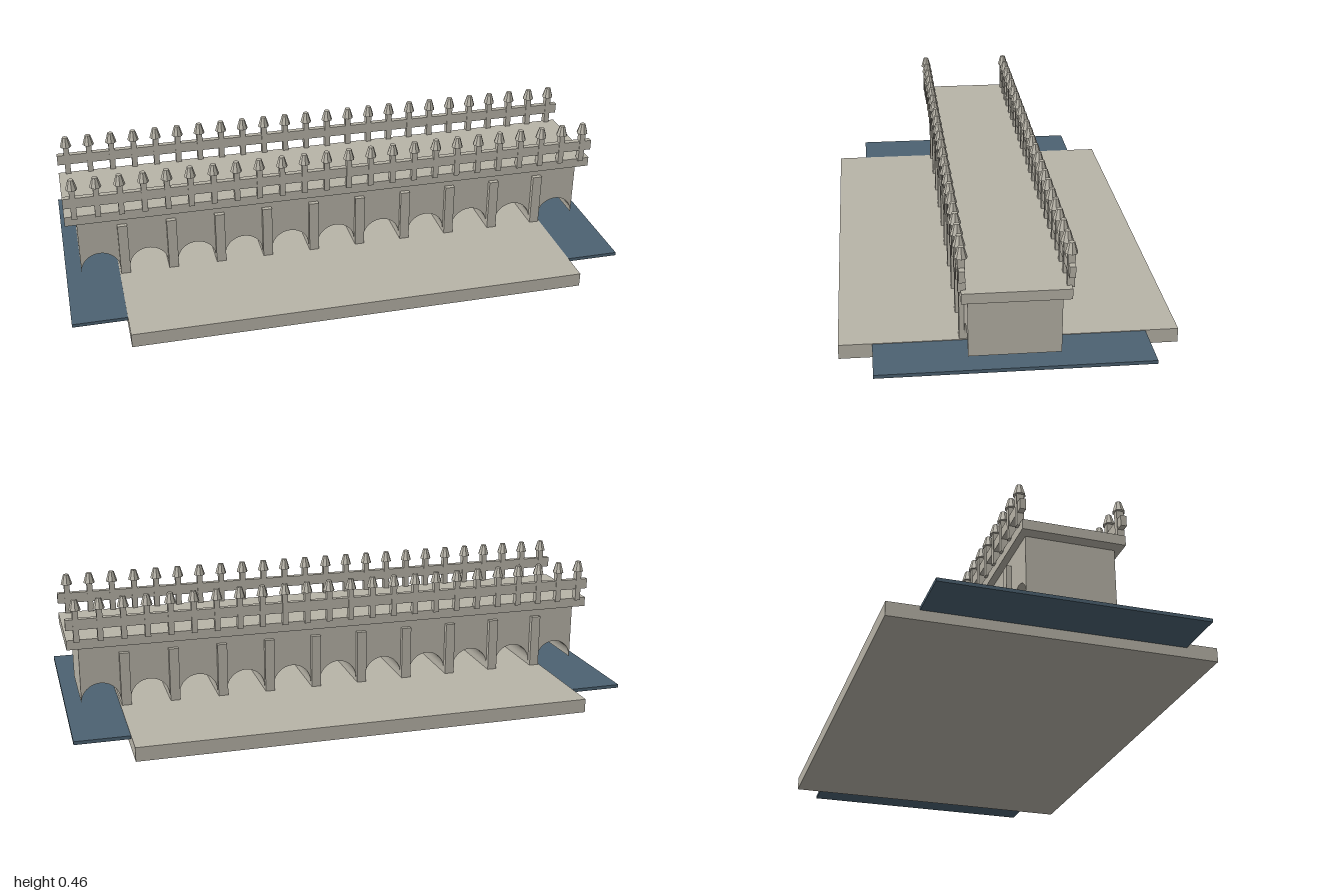
import * as THREE from 'three';

export function createModel() {
  const root = new THREE.Group();
  root.name = 'archedBridge';
  const stone = new THREE.MeshStandardMaterial({ color: 0xb8b4a8 });
  stone.name = 'stone';
  const waterBlue = new THREE.MeshStandardMaterial({ color: 0x4c6272 });
  waterBlue.name = 'waterBlue';

  const add = (name, geometry, material, x = 0, y = 0, z = 0, parent = root) => {
    const mesh = new THREE.Mesh(geometry, material);
    mesh.name = name;
    mesh.position.set(x, y, z);
    parent.add(mesh);
    return mesh;
  };
  // Box given by its full width and depth and its bottom and top heights
  const box = (name, w, y0, y1, d, material, x = 0, z = 0, parent = root) =>
    add(name, new THREE.BoxGeometry(w, y1 - y0, d), material, x, (y0 + y1) / 2, z, parent);

  // Ground slab and the water sheet running past its ends
  box('baseSlab', 1.62, 0, 0.05, 1.12, stone);
  box('water', 2, 0.036, 0.048, 0.9, waterBlue);

  // Bridge body with a row of open arches along its bottom edge
  const pitch = 0.175, radius = 0.0695, spring = 0.066, end = 0.945, arches = 11;
  const wall = new THREE.Shape();
  wall.moveTo(end, spring);
  wall.lineTo(end, 0.276);
  wall.lineTo(-end, 0.276);
  wall.lineTo(-end, spring);
  for (let i = 0; i < arches; i++) {
    const cx = (i - (arches - 1) / 2) * pitch;
    wall.lineTo(cx - radius, spring);
    wall.absarc(cx, spring, radius, Math.PI, 0, true);
  }
  const body = new THREE.ExtrudeGeometry(wall, { depth: 0.3, bevelEnabled: false, curveSegments: 16 });
  add('archedBody', body, stone, 0, 0, -0.15);

  // Piers between the arches, standing proud of both faces
  for (let i = 0; i < arches - 1; i++) {
    box('pier', 0.035, 0.05, 0.245, 0.334, stone, (i - (arches - 2) / 2) * pitch);
  }

  // Deck
  box('deck', 1.972, 0.275, 0.31, 0.346, stone);

  // Fences: a rail with posts and tapered caps on each edge
  const posts = 24, span = 1.9;
  const capGeometry = new THREE.CylinderGeometry(0.01, 0.021, 0.037, 8).toNonIndexed();
  capGeometry.computeVertexNormals();
  for (const side of [1, -1]) {
    const fence = new THREE.Group();
    fence.name = side > 0 ? 'frontFence' : 'backFence';
    root.add(fence);
    const z = side * 0.17;
    box('rail', 1.972, 0.348, 0.386, 0.02, stone, 0, z, fence);
    for (let i = 0; i < posts; i++) {
      const x = -span / 2 + (span * i) / (posts - 1);
      box('post', 0.02, 0.303, 0.42, 0.024, stone, x, z, fence);
      add('postCap', capGeometry, stone, x, 0.4365, z, fence);
    }
  }
  return root;
}
